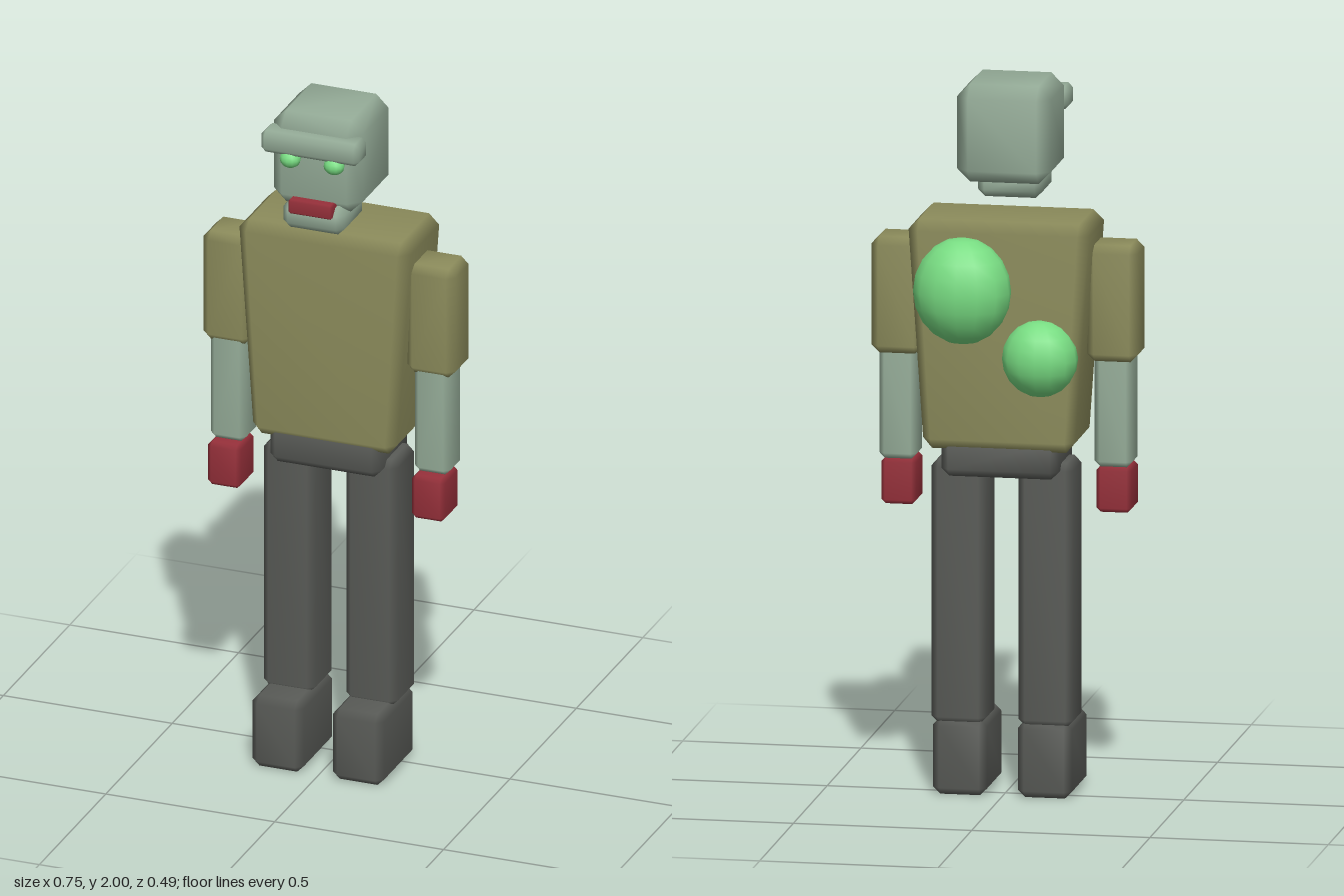
import * as THREE from 'three';
import { mergeVertices } from 'three/addons/utils/BufferGeometryUtils.js';
import { ConvexGeometry } from 'three/addons/geometries/ConvexGeometry.js';

const paint = (name, color) => {
  const m = new THREE.MeshStandardMaterial({ color });
  m.name = name;
  return m;
};

// Bevelled box between two corners with soft shading; taper narrows the bottom in x
function bevelBox([x0, y0, z0], [x1, y1, z1], c, taper = 1) {
  const half = [(x1 - x0) / 2, (y1 - y0) / 2, (z1 - z0) / 2];
  const points = [];
  for (const sx of [-1, 1]) for (const sy of [-1, 1]) for (const sz of [-1, 1]) {
    for (let axis = 0; axis < 3; axis++) {
      const h = half.map((v, i) => (i === axis ? v : v - c));
      const k = sy < 0 ? taper : 1;
      points.push(new THREE.Vector3(sx * h[0] * k, sy * h[1], sz * h[2]));
    }
  }
  let geo = new ConvexGeometry(points);
  geo.deleteAttribute('normal');
  geo = mergeVertices(geo);
  geo.computeVertexNormals();
  geo.translate((x0 + x1) / 2, (y0 + y1) / 2, (z0 + z1) / 2);
  return geo;
}

// Stretched low-poly ball
function ball(center, radii, segments = 14, rings = 10) {
  return new THREE.SphereGeometry(1, segments, rings)
    .rotateY(Math.PI / 2).scale(...radii).translate(...center);
}

export function createModel() {
  const model = new THREE.Group();
  model.name = 'figure';
  const skin = paint('greySkin', 0x94ab97);
  const shirt = paint('oliveShirt', 0x8b8b5b);
  const dark = paint('darkTrousers', 0x585a56);
  const red = paint('darkRed', 0x96303a);
  const green = paint('glowGreen', 0x78dc82);

  const add = (name, geometry, material) => {
    const mesh = new THREE.Mesh(geometry, material);
    mesh.name = name;
    model.add(mesh);
  };

  // Head and face
  add('head', bevelBox([-0.133, 1.725, -0.06], [0.131, 2.0, 0.203], 0.036), skin);
  add('brow', bevelBox([-0.146, 1.895, 0.165], [0.144, 1.96, 0.242], 0.013), skin);
  add('jaw', bevelBox([-0.092, 1.665, 0.05], [0.09, 1.745, 0.22], 0.02), skin);
  add('mouth', bevelBox([-0.067, 1.718, 0.17], [0.062, 1.76, 0.23], 0.005), red);

  // Body
  add('torso', bevelBox([-0.254, 0.985, -0.123], [0.254, 1.63, 0.149], 0.03, 0.84), shirt);
  add('pelvis', bevelBox([-0.165, 0.905, -0.1], [0.165, 1.03, 0.135], 0.022), dark);

  // Growths on the back
  add('largeGrowth', ball([0.095, 1.44, -0.133], [0.138, 0.15, 0.112]), green);
  add('smallGrowth', ball([-0.12, 1.255, -0.12], [0.106, 0.108, 0.09]), green);

  // Paired parts, built for the left (+x) and mirrored for the right
  for (const [side, s] of [['left', 1], ['right', -1]]) {
    const pair = (name, a, b, c, material) => {
      const xs = [s * a[0], s * b[0]].sort((p, q) => p - q);
      add(side + name, bevelBox([xs[0], a[1], a[2]], [xs[1], b[1], b[2]], c), material);
    };
    add(side + 'Eye', ball([s * 0.065, 1.88, 0.217], [0.03, 0.026, 0.027], 12, 8), green);
    pair('UpperArm', [0.23, 1.23, -0.032], [0.374, 1.558, 0.108], 0.022, shirt);
    pair('Forearm', [0.249, 0.93, -0.01], [0.355, 1.255, 0.094], 0.016, skin);
    pair('Hand', [0.253, 0.8, 0.003], [0.351, 0.93, 0.12], 0.012, red);
    pair('Leg', [0.045, 0.2, -0.063], [0.199, 0.945, 0.094], 0.02, dark);
    pair('Foot', [0.043, 0, -0.063], [0.195, 0.214, 0.19], 0.02, dark);
  }
  return model;
}
